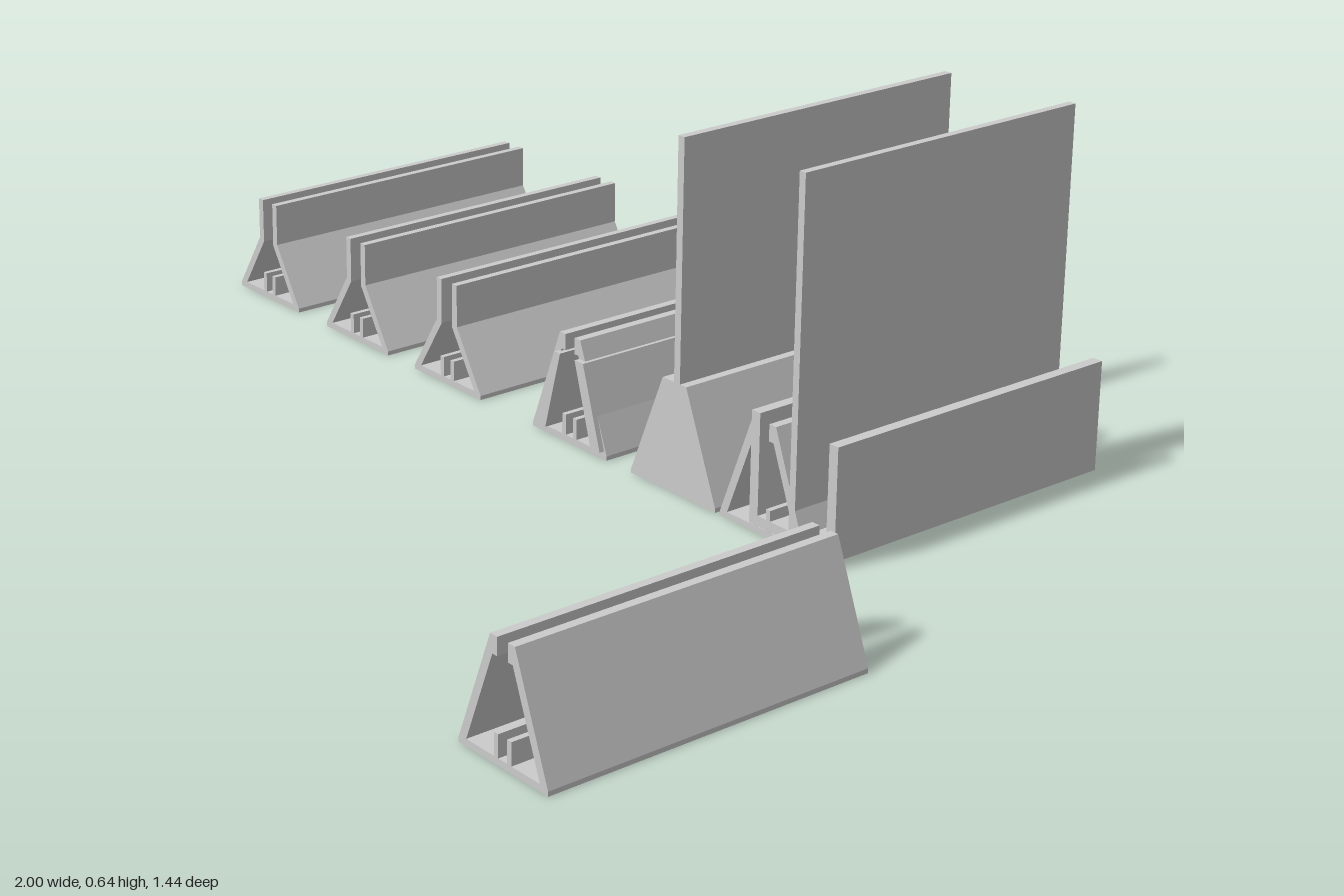
import * as THREE from 'three';

const LENGTH = 0.61;
const BACK = -0.405, FRONT = 0.415; // z centres of the two rows

const material = new THREE.MeshStandardMaterial({ color: 0xcccccc, flatShading: true });

// Extrudes a cross-section along z, centred on z
function bar(name, points, x, z, length = LENGTH) {
  const shape = new THREE.Shape(points.map(([px, py]) => new THREE.Vector2(px, py)));
  const geometry = new THREE.ExtrudeGeometry(shape, { depth: length, bevelEnabled: false });
  geometry.translate(0, 0, -length / 2);
  const mesh = new THREE.Mesh(geometry, material);
  mesh.name = name;
  mesh.position.set(x, 0, z);
  return mesh;
}

// Upright rectangle section
function plate(name, x0, x1, y0, y1, z = BACK) {
  return bar(name, [[x0, y0], [x1, y0], [x1, y1], [x0, y1]], 0, z);
}

// Mirrors the right half of a section, listed from bottom to top and back down inside
const mirrored = (half) => [...half, ...half.slice().reverse().map(([x, y]) => [-x, y])];

// Low ribs standing on the base, with the floor between them
const ribs = [[0.02, 0.012], [0.02, 0.05], [0.01, 0.05], [0.01, 0.012]];

// Holder with a straight neck above sloping sides
const neckSection = mirrored([
  [0.1, 0], [0.1, 0.008], [0.03, 0.12], [0.03, 0.2], [0.016, 0.2], [0.016, 0.115],
  [0.081, 0.012], ...ribs,
]);

// Holder whose sides slope right to the top, with lips around the slot
const slopeSection = mirrored([
  [0.102, 0], [0.102, 0.008], [0.028, 0.2], [0.012, 0.2], [0.012, 0.17], [0.023, 0.17],
  [0.084, 0.012], ...ribs,
]);

export function createModel() {
  const model = new THREE.Group();
  model.name = 'slottedHolderSet';

  // Row of necked holders
  [-0.9, -0.605, -0.32].forEach((x, i) => model.add(bar(`neckedHolder${i + 1}`, neckSection, x, BACK)));

  // Holder with two sloping inserts that stick out at both ends
  const loaded = new THREE.Group();
  loaded.name = 'holderWithInserts';
  loaded.add(bar('slopedHolder', slopeSection, 0.035, BACK));
  const inset = LENGTH + 0.02;
  loaded.add(bar('leftInsert', [[0.105, 0.015], [0.13, 0.015], [0.083, 0.165], [0.06, 0.165]], 0, BACK, inset));
  loaded.add(bar('rightInsert', [[-0.04, 0.015], [-0.02, 0.015], [0.02, 0.165], [0.005, 0.165]], 0, BACK, inset));
  model.add(loaded);

  // Solid stand with an upright panel
  const solid = new THREE.Group();
  solid.name = 'solidStand';
  solid.add(bar('solidBase', [[-0.108, 0], [0.108, 0], [0.108, 0.008], [0.03, 0.2], [-0.03, 0.2], [-0.108, 0.008]], 0.311, BACK));
  solid.add(plate('solidStandPanel', 0.31, 0.325, 0.19, 0.63));
  model.add(solid);

  // Sloped holder crossed by a channel and a tall panel
  const channel = new THREE.Group();
  channel.name = 'channelStand';
  channel.add(bar('channelHolder', slopeSection, 0.533, BACK));
  channel.add(bar('channel', [
    [0.503, 0.013], [0.705, 0.013], [0.705, 0.212], [0.685, 0.212],
    [0.685, 0.031], [0.523, 0.031], [0.523, 0.212], [0.503, 0.212],
  ], 0, BACK));
  channel.add(plate('tallPanel', 0.597, 0.611, 0.031, 0.642));
  model.add(channel);

  // Single holder in front
  model.add(bar('frontHolder', slopeSection, 0.898, FRONT));

  return model;
}
